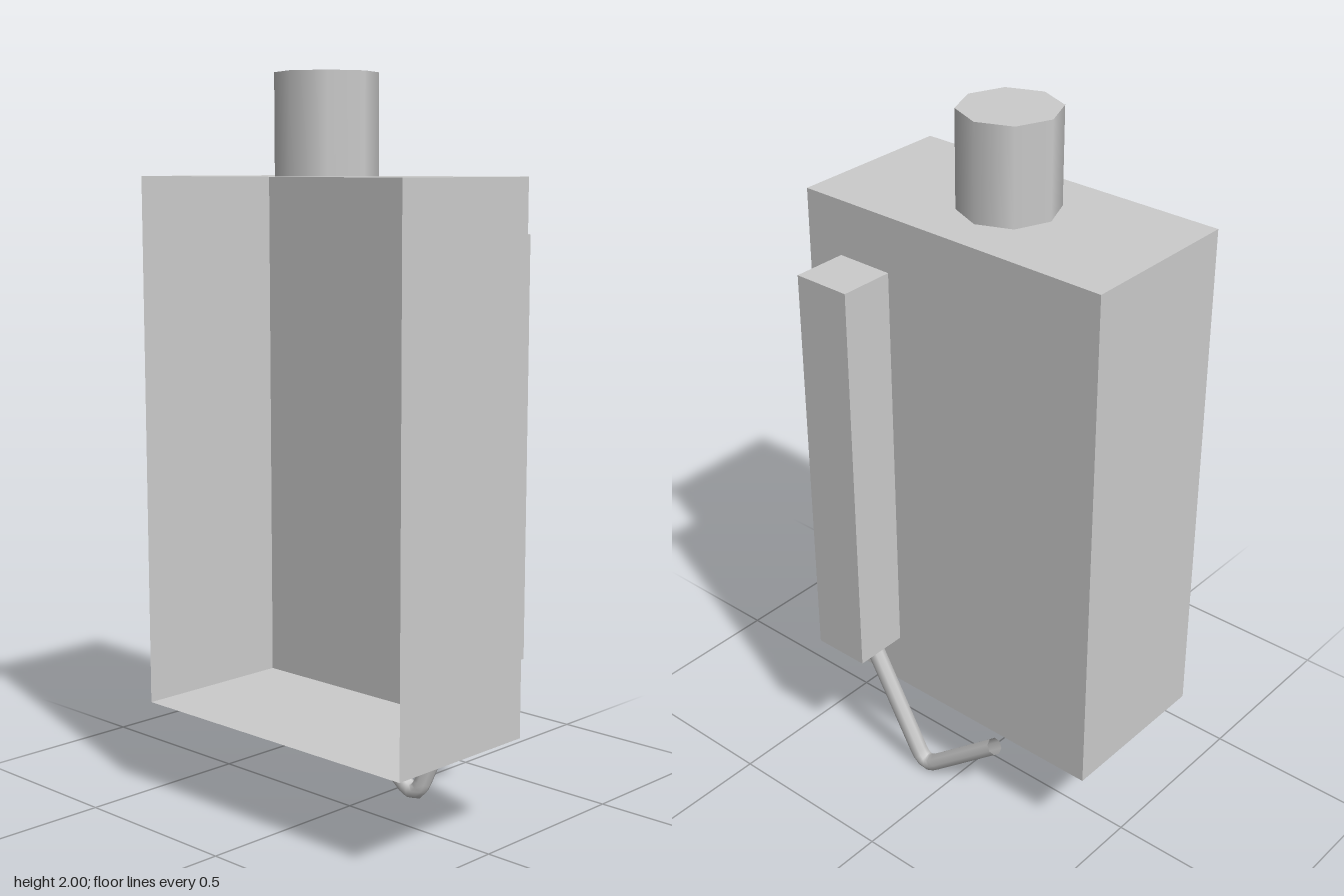
import * as THREE from 'three';

export function createModel() {
  const group = new THREE.Group();
  const grey = new THREE.MeshStandardMaterial({ color: 0xcccccc, side: THREE.DoubleSide });
  grey.name = 'grey';

  const add = (name, geometry, x = 0, y = 0, z = 0) => {
    const mesh = new THREE.Mesh(geometry, grey);
    mesh.name = name;
    mesh.position.set(x, y, z);
    group.add(mesh);
  };

  // Thin-walled case, open at the front: drop the +z face of a box
  const shell = new THREE.BoxGeometry(0.946, 1.466, 0.472);
  const index = Array.from(shell.index.array);
  index.splice(24, 6);
  shell.setIndex(index);
  shell.clearGroups();
  add('case', shell, 0, 1.003, 0.079);

  // Eight-sided neck on top
  add('neck', new THREE.CylinderGeometry(0.135, 0.135, 0.264, 8), 0, 1.868, 0.085);

  // Upright bar on the back
  add('backBar', new THREE.BoxGeometry(0.165, 1.155, 0.156), 0.2725, 1.0075, -0.24);

  // Bent open tube hanging from the bar
  const v = (x, y, z) => new THREE.Vector3(x, y, z);
  const path = new THREE.CurvePath();
  const bendIn = v(0.121, 0.056, -0.169), bendOut = v(0.055, 0.041, -0.166);
  path.add(new THREE.LineCurve3(v(0.274, 0.432, -0.206), bendIn));
  path.add(new THREE.QuadraticBezierCurve3(bendIn, v(0.098, 0.004, -0.165), bendOut));
  path.add(new THREE.LineCurve3(bendOut, v(-0.16, 0.215, -0.156)));
  add('bentTube', new THREE.TubeGeometry(path, 40, 0.025, 8, false));

  return group;
}
